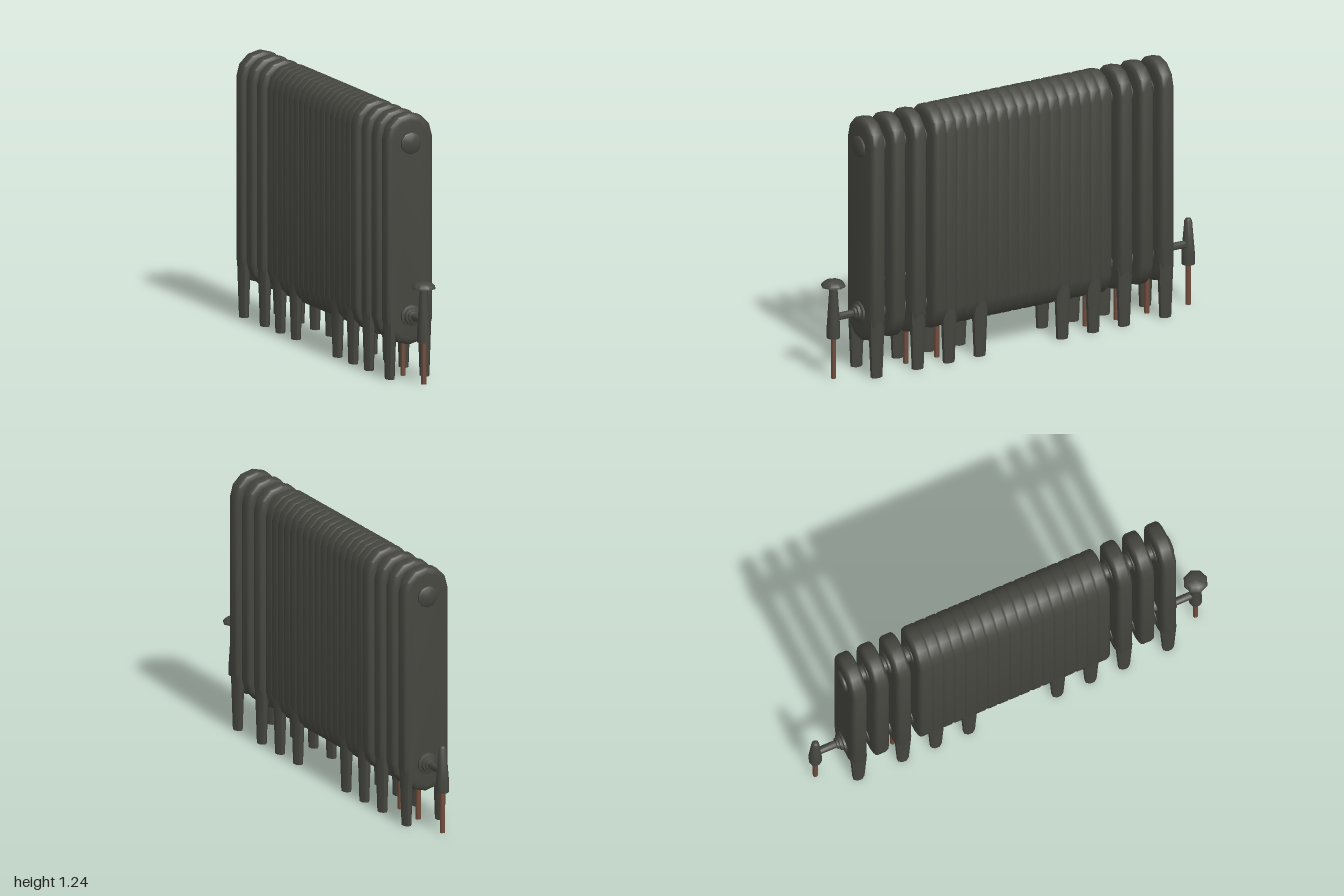
import * as THREE from 'three';
import { toCreasedNormals } from 'three/addons/utils/BufferGeometryUtils.js';

const PITCH = 0.1107, HUB_LOW = 0.295, HUB_HIGH = 1.1;

// Lathe from [radius, height] pairs
function lathe(points, sides) {
  const g = new THREE.LatheGeometry(points.map(([r, y]) => new THREE.Vector2(r, y)), sides);
  return toCreasedNormals(g, 0.85);
}

// Tall plate with faceted round ends and softened edges
function sectionGeometry() {
  const r = 0.117, low = 0.273, high = 1.122, pts = [];
  for (let i = 0; i <= 6; i++) {
    const a = i * Math.PI / 6;
    pts.push(new THREE.Vector2(r * Math.cos(a), high + r * Math.sin(a)));
  }
  for (let i = 6; i <= 12; i++) {
    const a = i * Math.PI / 6;
    pts.push(new THREE.Vector2(r * Math.cos(a), low + r * Math.sin(a)));
  }
  const g = new THREE.ExtrudeGeometry(new THREE.Shape(pts), {
    depth: 0.039, bevelEnabled: true, bevelThickness: 0.018,
    bevelSize: 0.03, bevelOffset: -0.03, bevelSegments: 3,
  });
  g.translate(0, 0, -0.0195);
  return toCreasedNormals(g, 0.7);
}

export function createModel() {
  const iron = new THREE.MeshStandardMaterial({ color: 0x45463f });
  iron.name = 'dark iron';
  const copper = new THREE.MeshStandardMaterial({ color: 0x6e4c3c });
  copper.name = 'copper';

  const root = new THREE.Group();
  root.name = 'columnRadiator';
  const add = (parent, name, geometry, material, x = 0, y = 0, z = 0) => {
    const m = new THREE.Mesh(geometry, material);
    m.name = name;
    m.position.set(x, y, z);
    parent.add(m);
    return m;
  };

  // Sections: a full row, and a half-step row filling the middle
  const section = sectionGeometry();
  for (let i = 0; i < 15; i++) add(root, 'section', section, iron, 0, 0, 0.765 - i * PITCH);
  for (let i = 0; i < 8; i++) add(root, 'middleSection', section, iron, 0, 0, 0.377 - i * PITCH);

  // Hub joints between neighbouring sections, flared where they meet
  const hub = lathe([[0.052, -0.04], [0.05, -0.014], [0.04, -0.009], [0.038, 0],
    [0.04, 0.009], [0.05, 0.014], [0.052, 0.04]], 10);
  hub.rotateX(Math.PI / 2);
  for (let i = 0; i < 14; i++) {
    for (const y of [HUB_LOW, HUB_HIGH]) add(root, 'hubJoint', hub, iron, 0, y, 0.71 - i * PITCH);
  }

  const leg = new THREE.CylinderGeometry(1, 0.71, 0.28, 8);
  leg.rotateY(Math.PI / 8);
  leg.scale(0.03, 1, 0.041);
  const legGeometry = toCreasedNormals(leg, 0.85);

  // Plugs, nuts and stems, pointing outward along +z from the end section
  const plug = lathe([[0.051, 0], [0.051, 0.046], [0.044, 0.051], [0, 0.052]], 10);
  plug.rotateX(Math.PI / 2);
  const nut = lathe([[0.051, 0], [0.051, 0.047], [0.04, 0.05], [0.037, 0.062],
    [0.028, 0.064], [0.026, 0.074], [0.018, 0.076], [0.018, 0.175]], 10);
  nut.rotateX(Math.PI / 2);

  // Valve bodies
  const handleBody = lathe([[0, 0.197], [0.031, 0.197], [0.031, 0.25], [0.018, 0.45], [0, 0.45]], 10);
  const handleCap = lathe([[0, 0.448], [0.058, 0.448], [0.056, 0.457], [0.04, 0.472], [0, 0.478]], 8);
  const lockBody = lathe([[0, 0.197], [0.031, 0.197], [0.031, 0.25], [0.018, 0.408],
    [0.012, 0.418], [0, 0.421]], 10);
  const pipe = toCreasedNormals(new THREE.CylinderGeometry(0.0125, 0.0125, 0.21, 8), 0.85);

  // Legs and valves at both ends of each nested length
  const ends = [[0.765, -0.785], [0.544, -0.563], [0.377, -0.398], [0.211, -0.232]];
  for (const pair of ends) {
    pair.forEach((z, back) => {
      const end = new THREE.Group();
      end.name = back ? 'rearEnd' : 'frontEnd';
      end.position.z = z;
      if (back) end.rotation.y = Math.PI;
      root.add(end);
      for (const x of [-0.088, 0.088]) add(end, 'leg', legGeometry, iron, x, 0.14, 0);
      add(end, 'endPlug', plug, iron, 0, HUB_HIGH, 0);
      add(end, 'valveNut', nut, iron, 0, HUB_LOW, 0);
      add(end, 'valveBody', back ? lockBody : handleBody, iron, 0, 0, 0.177);
      if (!back) add(end, 'valveHandle', handleCap, iron, 0, 0, 0.177);
      add(end, 'supplyPipe', pipe, copper, 0, 0.105, 0.177);
    });
  }
  return root;
}
